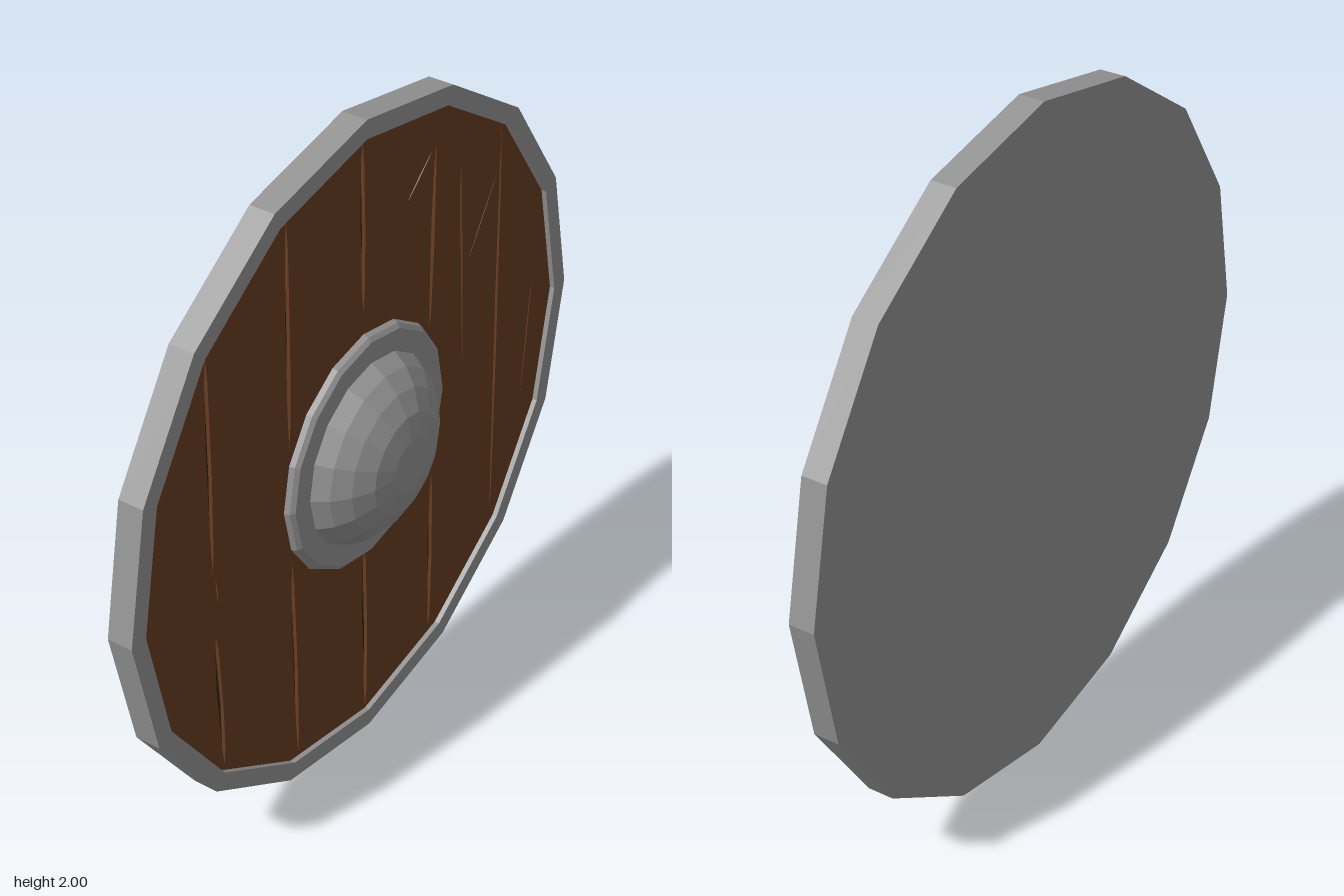
import * as THREE from 'three';

const SIDES = 16;
const mat = (color) => new THREE.MeshStandardMaterial({ color, flatShading: true });

// Faceted solid of revolution about the x axis; profile pairs are [radius, x]
function turned(name, profile, material) {
  const points = profile.map(([r, x]) => new THREE.Vector2(r, x));
  const geometry = new THREE.LatheGeometry(points, SIDES);
  geometry.rotateZ(-Math.PI / 2);
  const mesh = new THREE.Mesh(geometry, material);
  mesh.name = name;
  return mesh;
}

// Long thin splinter-shaped hole running between two points
function crack([z0, y0, z1, y1, width]) {
  const a = new THREE.Vector2(-z0, y0 - 1);
  const b = new THREE.Vector2(-z1, y1 - 1);
  const dir = b.clone().sub(a);
  const side = new THREE.Vector2(-dir.y, dir.x).normalize().multiplyScalar(width / 2);
  const at = (t, s) => a.clone().addScaledVector(dir, t).addScaledVector(side, s);
  return new THREE.Path([
    a, at(0.12, 0.6), at(0.55, 1), at(0.9, 0.6), b, at(0.85, -0.5), at(0.4, -1), at(0.1, -0.6),
  ]);
}

export function createModel() {
  const shield = new THREE.Group();
  shield.name = 'roundShield';
  const metal = mat(0x949494);
  const wood = mat(0x673d20);
  const darkWood = mat(0x3a2312);

  // Metal back plate and raised rim
  shield.add(turned('rimAndBack', [
    [0, -0.11], [1, -0.11], [1, -0.035], [0.945, -0.035], [0.945, -0.075],
  ], metal));

  // Plank seams and splits: z0, y0, z1, y1, width
  const cracks = [
    [0.65, 1.67, 0.66, 1.0, 0.02], [0.65, 0.98, 0.645, 0.9, 0.006],
    [0.66, 0.8, 0.65, 0.34, 0.024],
    [0.32, 1.87, 0.33, 1.19, 0.02], [0.33, 0.82, 0.325, 0.13, 0.02],
    [0, 1.94, 0, 1.43, 0.022], [0, 0.66, 0, 0.06, 0.025],
    [-0.33, 1.77, -0.31, 1.2, 0.018], [-0.33, 0.7, -0.325, 0.13, 0.022],
    [-0.65, 1.67, -0.65, 0.34, 0.014],
    [-0.2, 1.66, -0.31, 1.755, 0.007],
    [-0.45, 1.67, -0.48, 1.0, 0.009],
    [-0.5, 1.33, -0.63, 1.53, 0.003],
    [-0.84, 1.08, -0.8, 0.71, 0.006],
  ];

  // Plank face with the cracks cut through it
  const outline = Array.from({ length: SIDES }, (_, i) => {
    const angle = (i / SIDES) * Math.PI * 2;
    return new THREE.Vector2(Math.cos(angle) * 0.95, Math.sin(angle) * 0.95);
  });
  const face = new THREE.Shape(outline);
  face.holes = cracks.map(crack);
  const faceGeometry = new THREE.ExtrudeGeometry(face, { depth: 0.012, bevelEnabled: false });
  faceGeometry.rotateY(Math.PI / 2);
  const planks = new THREE.Mesh(faceGeometry, wood);
  planks.name = 'planks';
  planks.position.x = -0.062;
  shield.add(planks);

  // Dark wood seen at the bottom of the cracks
  shield.add(turned('crackFloor', [[0.95, -0.061], [0, -0.061]], darkWood));

  // Central boss: bevelled flange and dome
  shield.add(turned('bossFlange', [
    [0.362, -0.055], [0.355, -0.035], [0.343, -0.025], [0.27, -0.025],
  ], metal));
  shield.add(turned('bossDome', [
    [0.28, -0.026], [0.252, 0.018], [0.208, 0.057], [0.148, 0.089], [0.08, 0.105], [0, 0.105],
  ], metal));

  // Lift so the lowest rim corner rests on the ground
  shield.children.forEach((part) => { part.position.y = 1; });
  return shield;
}
